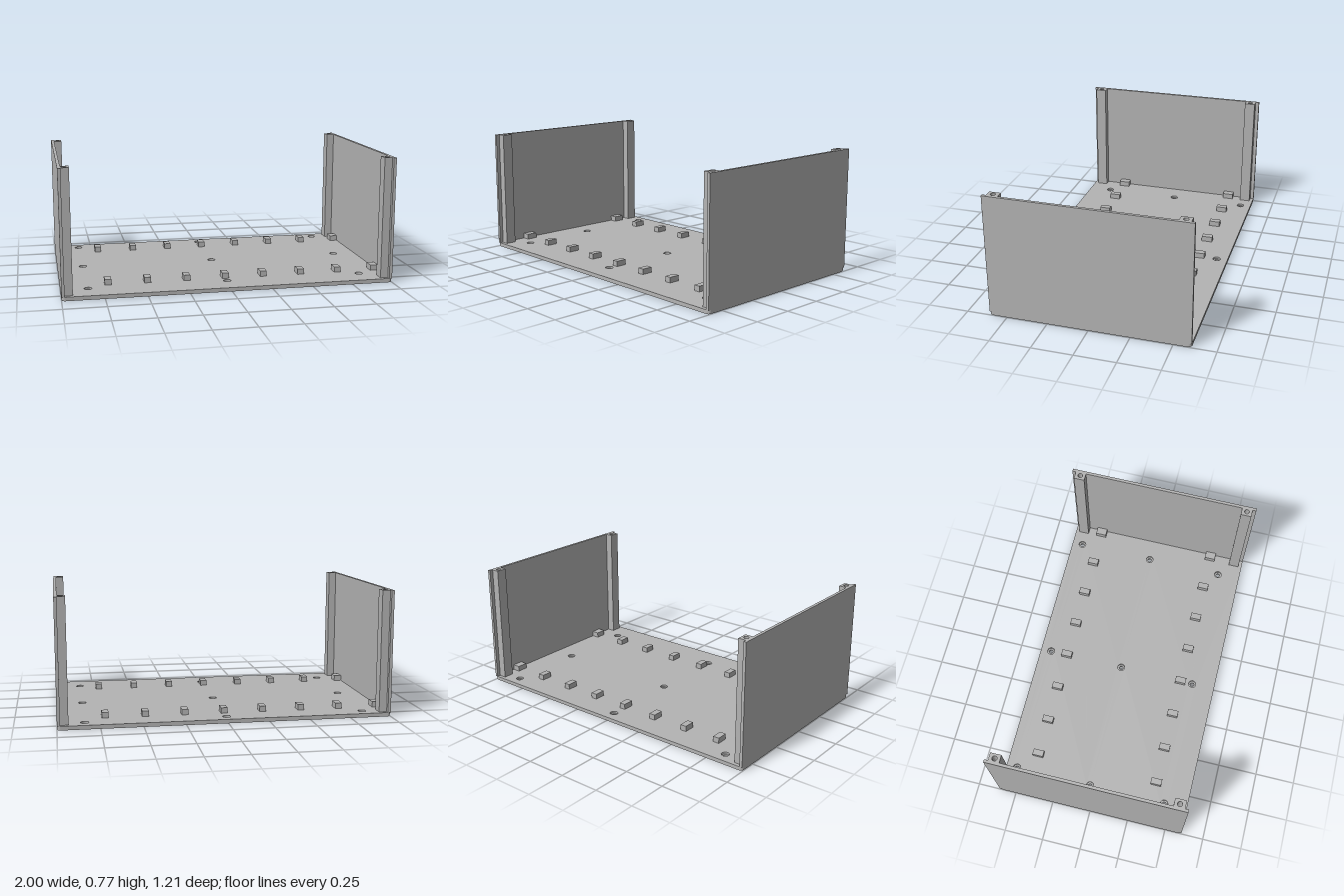
import * as THREE from 'three';

const HX = 1, HZ = 0.607, FLOOR = 0.025, TOP = 0.77;

export function createModel() {
  const group = new THREE.Group();
  const grey = new THREE.MeshStandardMaterial({ color: 0xb3b3b3 });
  grey.name = 'plain grey';

  const add = (name, geometry, x = 0, y = 0, z = 0) => {
    const mesh = new THREE.Mesh(geometry, grey);
    mesh.name = name;
    mesh.position.set(x, y, z);
    group.add(mesh);
  };
  const box = (name, w, h, d, x, y, z) => add(name, new THREE.BoxGeometry(w, h, d), x, y, z);
  const hole = (x, y, r) => new THREE.Path().absarc(x, y, r, 0, Math.PI * 2, true);
  // Extrude a plan drawn in x and -z upwards
  const raise = (shape, height) =>
    new THREE.ExtrudeGeometry(shape, { depth: height, bevelEnabled: false, curveSegments: 12 })
      .rotateX(-Math.PI / 2);

  // Floor slab: rounded corners, a slim stepped lower edge and recessed screw holes
  const floorLayer = (name, inset, holeRadius, y0, y1) => {
    const x = HX - inset, z = HZ - inset, r = 0.02;
    const s = new THREE.Shape();
    s.absarc(x - r, z - r, r, 0, Math.PI / 2);
    s.absarc(-x + r, z - r, r, Math.PI / 2, Math.PI);
    s.absarc(-x + r, -z + r, r, Math.PI, Math.PI * 1.5);
    s.absarc(x - r, -z + r, r, Math.PI * 1.5, Math.PI * 2);
    for (const hx of [-0.84, 0, 0.84])
      for (const hz of [-0.537, -0.04, 0.457]) s.holes.push(hole(hx, -hz, holeRadius));
    add(name, raise(s, y1 - y0), 0, y0, 0);
  };
  floorLayer('floorLowerEdge', 0.003, 0.013, 0, 0.004);
  floorLayer('floorCore', 0, 0.013, 0.004, 0.013);
  floorLayer('floorTop', 0, 0.024, 0.013, FLOOR);

  // Side walls with a drilled post near each end
  for (const side of [-1, 1]) {
    const name = side > 0 ? 'left' : 'right';
    box(name + 'Wall', 0.018, TOP - FLOOR, HZ * 2, side * 0.991, (TOP + FLOOR) / 2, 0);
    for (const end of [-1, 1]) {
      const post = new THREE.Shape();
      post.moveTo(-0.025, -0.034).lineTo(0.025, -0.034).lineTo(0.025, 0.034).lineTo(-0.025, 0.034);
      post.holes.push(hole(side * 0.004, 0, 0.015));
      add(name + (end > 0 ? 'Front' : 'Back') + 'Post', raise(post, TOP - FLOOR),
        side * 0.959, FLOOR, end * 0.55);
    }
  }

  // Two rows of support blocks on the floor
  for (let i = -4; i <= 4; i++) {
    const outer = Math.abs(i) === 4;
    const x = outer ? Math.sign(i) * 0.959 : i * 0.239;
    for (const z of [-0.423, 0.375])
      box('supportBlock', outer ? 0.05 : 0.04, 0.035, 0.07, x, FLOOR + 0.0165, z);
  }
  return group;
}
